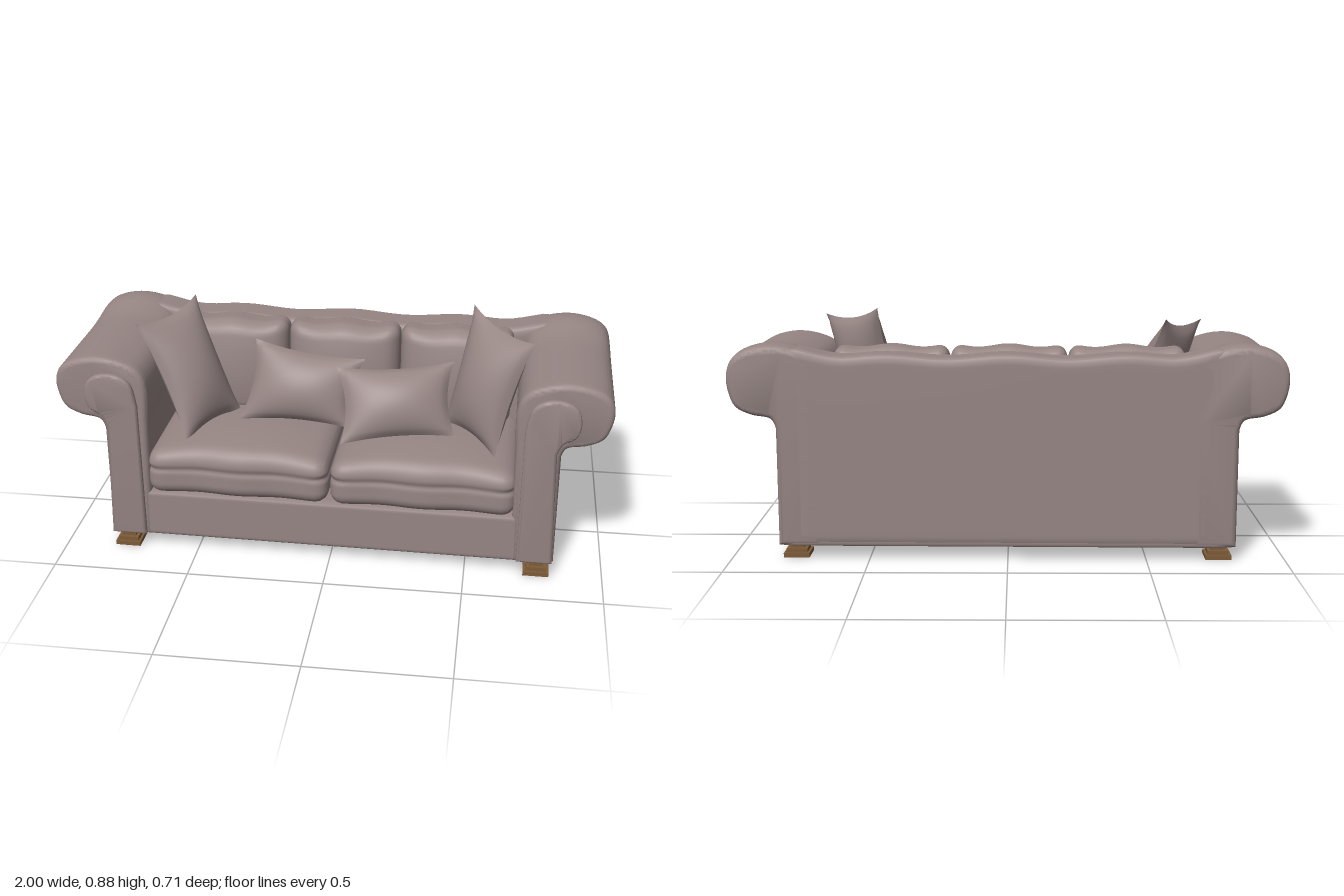
import * as THREE from 'three';
import { mergeVertices, mergeGeometries, toCreasedNormals } from 'three/addons/utils/BufferGeometryUtils.js';

const fabric = new THREE.MeshStandardMaterial({ color: 0x968684 });
fabric.name = 'taupe fabric';
const wood = new THREE.MeshStandardMaterial({ color: 0x7d5c38 });
wood.name = 'brown wood';

function add(parent, name, geometry, material, x = 0, y = 0, z = 0) {
  const mesh = new THREE.Mesh(geometry, material);
  mesh.name = name;
  mesh.position.set(x, y, z);
  parent.add(mesh);
  return mesh;
}

// Move every vertex of a geometry by a rule
function warp(geometry, rule) {
  const pos = geometry.attributes.position;
  const p = new THREE.Vector3();
  for (let i = 0; i < pos.count; i++) {
    rule(p.fromBufferAttribute(pos, i));
    pos.setXYZ(i, p.x, p.y, p.z);
  }
  return geometry;
}

// Subdivided box with rounded edges, then shaped by a rule
function softBox(w, h, d, r, rule = () => {}, n = 28) {
  let g = new THREE.BoxGeometry(w, h, d, n, n, n);
  g.deleteAttribute('normal');
  g.deleteAttribute('uv');
  g = mergeVertices(g);
  const inner = new THREE.Vector3(w / 2 - r, h / 2 - r, d / 2 - r);
  const low = inner.clone().negate();
  const core = new THREE.Vector3();
  warp(g, (p) => {
    core.copy(p).clamp(low, inner);
    p.sub(core);
    if (p.lengthSq() > 0) p.setLength(Math.min(r, Math.max(Math.abs(p.x), Math.abs(p.y), Math.abs(p.z))));
    p.add(core);
    rule(p);
  });
  g.computeVertexNormals();
  return g;
}

// Scatter pillow spanned by four corners: pinched edges, puffed middle
function pillow(corners, thickness) {
  const side = (a, b, c, d) => {
    const across = b.clone().sub(a);
    const down = d.clone().sub(a);
    const normal = down.cross(across).normalize();
    const g = new THREE.PlaneGeometry(2, 2, 24, 24);
    warp(g, (p) => {
      const fx = 1 - p.x * p.x;
      const fy = 1 - p.y * p.y;
      const u = (p.x * (1 - 0.12 * fy) + 1) / 2;
      const v = (p.y * (1 - 0.12 * fx) + 1) / 2;
      const top = a.clone().lerp(b, u);
      const bottom = d.clone().lerp(c, u);
      p.copy(bottom.lerp(top, v)).addScaledVector(normal, thickness * Math.pow(fx * fy, 0.65));
    });
    g.computeVertexNormals();
    return g;
  };
  const [a, b, c, d] = corners.map((q) => new THREE.Vector3(...q));
  return mergeGeometries([side(a, b, c, d), side(b, a, d, c)]);
}

function extrude(shape, depth, bevel, steps) {
  return new THREE.ExtrudeGeometry(shape, {
    depth: depth - 2 * bevel, steps, curveSegments: 10,
    bevelThickness: bevel, bevelSize: bevel, bevelOffset: -bevel, bevelSegments: 4,
  }).translate(0, 0, bevel);
}

// Rolled arm section; s is the side
function armShape(s) {
  const v = (x, y) => new THREE.Vector2(s * x, y);
  const shape = new THREE.Shape();
  shape.moveTo(s * 0.67, 0.05);
  shape.lineTo(s * 0.825, 0.05);
  shape.lineTo(s * 0.825, 0.48);
  shape.splineThru([v(0.845, 0.515), v(0.91, 0.528), v(0.965, 0.555), v(0.99, 0.605), v(0.997, 0.665),
    v(0.975, 0.715), v(0.92, 0.745), v(0.84, 0.758), v(0.755, 0.745), v(0.69, 0.71), v(0.662, 0.64), v(0.665, 0.5)]);
  return shape;
}

// Facing panel on the arm front
function panelShape(s) {
  const v = (x, y) => new THREE.Vector2(s * x, y);
  const shape = new THREE.Shape();
  shape.moveTo(s * 0.69, 0.055);
  shape.lineTo(s * 0.82, 0.055);
  shape.lineTo(s * 0.81, 0.5);
  shape.splineThru([v(0.83, 0.54), v(0.87, 0.565), v(0.887, 0.61), v(0.875, 0.67),
    v(0.83, 0.7), v(0.765, 0.7), v(0.715, 0.665), v(0.695, 0.58)]);
  return shape;
}

export function createModel() {
  const model = new THREE.Group();
  model.name = 'sofa';
  const body = new THREE.Group();
  body.name = 'body';
  body.rotation.y = -0.012;
  model.add(body);

  // Base and scalloped back
  add(body, 'base', softBox(1.63, 0.185, 0.665, 0.015), fabric, 0, 0.1375, -0.01);
  add(body, 'back', softBox(1.56, 0.69, 0.135, 0.025, (p) => {
    const rise = THREE.MathUtils.smoothstep(Math.abs(p.x), 0.55, 0.78) * 0.03;
    const t = THREE.MathUtils.smoothstep(p.y, 0.1, 0.345);
    p.y += t * (rise + 0.007 * Math.cos(p.x * Math.PI * 2 / 0.43));
  }, 40), fabric, 0, 0.395, -0.2775);

  for (const s of [1, -1]) {
    const side = s > 0 ? 'left' : 'right';
    // Arm, rising gently toward the back
    const arm = extrude(armShape(s), 0.67, 0.02, 24).translate(0, 0, -0.345);
    warp(arm, (p) => {
      const lift = 0.023 * Math.exp(-(((p.z + 0.27) / 0.11) ** 2));
      p.y += lift * THREE.MathUtils.smoothstep(p.y, 0.6, 0.76);
    });
    add(body, side + 'Arm', toCreasedNormals(arm, 0.7), fabric);
    const panel = extrude(panelShape(s), 0.03, 0.012, 1);
    add(body, side + 'ArmPanel', toCreasedNormals(panel, 0.7), fabric, 0, 0, 0.316);

    // Seat cushion with a crown and a seam groove
    add(body, side + 'SeatCushion', softBox(0.675, 0.17, 0.54, 0.05, (p) => {
      const u = p.x / 0.3375;
      const w = p.z / 0.27;
      const groove = 1 - 0.022 * Math.exp(-(((p.y - 0.02) / 0.009) ** 2));
      p.x *= groove;
      p.z *= groove;
      p.z += 0.006 * Math.cos(u * 7) * Math.max(0, w);
      if (p.y > 0) p.y += (p.y / 0.085) * 0.04 * Math.max(0, 1 - u * u) * (1 - 0.6 * w * w);
    }), fabric, s * 0.34, 0.309, 0.062);

    // Stepped feet
    for (const [end, z] of [['front', 0.293], ['back', -0.275]]) {
      const foot = new THREE.Group();
      foot.name = end + side[0].toUpperCase() + side.slice(1) + 'Foot';
      foot.position.set(s * 0.765, 0, z);
      body.add(foot);
      [0.094, 0.076, 0.05].forEach((w, i) =>
        add(foot, 'footStep', new THREE.BoxGeometry(w, 0.016, w), wood, 0, 0.008 + i * 0.015, 0));
    }
  }

  // Three back cushions, puffed toward the front
  for (const i of [-1, 0, 1]) {
    const cushion = add(body, 'backCushion', softBox(0.424, 0.37, 0.13, 0.045, (p) => {
      const u = p.x / 0.212;
      const v = p.y / 0.185;
      const puff = Math.max(0, 1 - u * u);
      if (p.z > 0) p.z += (p.z / 0.065) * 0.05 * puff * (1 - 0.5 * v * v);
      if (p.y > 0) p.y += 0.006 * v * Math.cos(u * 6);
    }), fabric, i * 0.428 - 0.005, 0.57, -0.16);
    cushion.rotation.x = -0.06;
  }

  // Scatter pillows: corners run top left, top right, bottom right, bottom left
  const pillows = {
    rightTallPillow: [[-0.74, 0.825, 0.14], [-0.575, 0.85, -0.13], [-0.39, 0.42, -0.03], [-0.545, 0.4, 0.23]],
    leftTallPillow: [[0.485, 0.885, -0.07], [0.71, 0.84, 0.175], [0.59, 0.405, 0.22], [0.395, 0.455, 0.04]],
    rightLowPillow: [[-0.33, 0.715, -0.05], [0.09, 0.665, -0.02], [0.04, 0.43, 0.09], [-0.38, 0.43, 0.07]],
    leftLowPillow: [[-0.01, 0.655, 0.045], [0.42, 0.67, -0.03], [0.44, 0.43, 0.11], [0.025, 0.42, 0.21]],
  };
  for (const [name, corners] of Object.entries(pillows)) {
    add(model, name, pillow(corners, 0.075), fabric);
  }
  return model;
}
